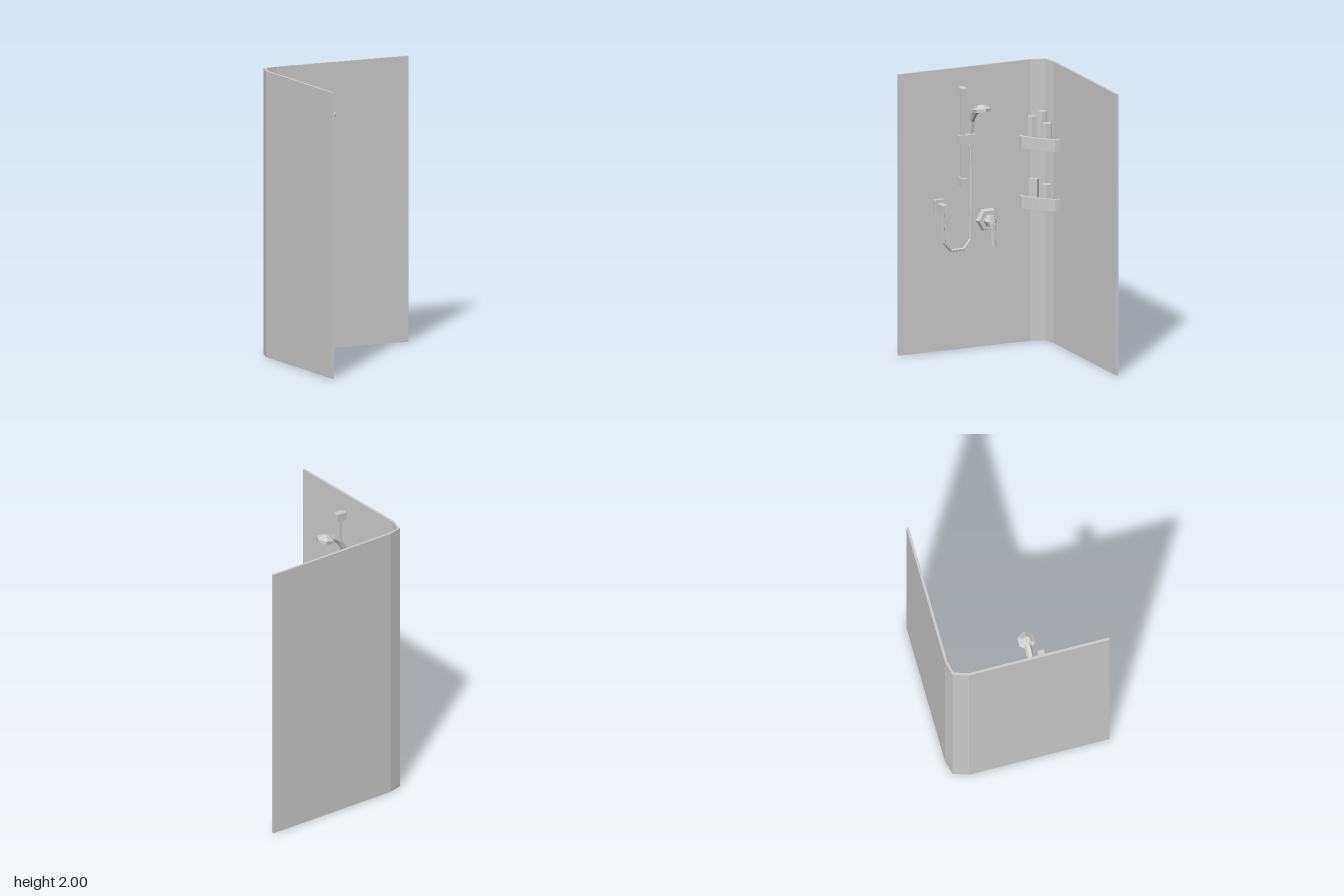
import * as THREE from 'three';

const material = new THREE.MeshStandardMaterial({ color: 0xcccccc, flatShading: true, side: THREE.DoubleSide });

export function createModel() {
  const model = new THREE.Group();

  const add = (name, geometry, parent = model) => {
    const mesh = new THREE.Mesh(geometry, material);
    mesh.name = name;
    parent.add(mesh);
    return mesh;
  };
  // Box given by its limits on each axis
  const box = (name, [x0, x1], [y0, y1], [z0, z1], parent) => {
    const mesh = add(name, new THREE.BoxGeometry(x1 - x0, y1 - y0, z1 - z0), parent);
    mesh.position.set((x0 + x1) / 2, (y0 + y1) / 2, (z0 + z1) / 2);
    return mesh;
  };
  // Plan outline of [x, z] points, raised from y0 to y1
  const slab = (name, outline, y0, y1, parent) => {
    const shape = new THREE.Shape(outline.map(([x, z]) => new THREE.Vector2(x, -z)));
    const geometry = new THREE.ExtrudeGeometry(shape, { depth: y1 - y0, bevelEnabled: false });
    geometry.rotateX(-Math.PI / 2).translate(0, y0, 0);
    return add(name, geometry, parent);
  };
  // Faceted tube through points of [x, y, z, radius], with closed ends
  const pipe = (name, points, sides, parent) => {
    const centres = points.map(p => new THREE.Vector3(p[0], p[1], p[2]));
    const pos = [], index = [];
    let side = null;
    centres.forEach((c, i) => {
      const before = centres[Math.max(i - 1, 0)], after = centres[Math.min(i + 1, centres.length - 1)];
      const dir = after.clone().sub(before).normalize();
      if (!side) side = new THREE.Vector3(0, 0, 1).cross(dir).normalize();
      side.addScaledVector(dir, -side.dot(dir)).normalize();
      const up = dir.clone().cross(side);
      for (let k = 0; k < sides; k++) {
        const a = (k + 0.5) / sides * Math.PI * 2;
        const v = c.clone().addScaledVector(side, Math.cos(a) * points[i][3]).addScaledVector(up, Math.sin(a) * points[i][3]);
        pos.push(v.x, v.y, v.z);
      }
      if (i) for (let k = 0; k < sides; k++) {
        const a = (i - 1) * sides + k, b = (i - 1) * sides + (k + 1) % sides;
        index.push(a, b, b + sides, a, b + sides, a + sides);
      }
    });
    const last = (points.length - 1) * sides;
    for (let k = 1; k < sides - 1; k++) index.push(0, k + 1, k, last, last + k, last + k + 1);
    const geometry = new THREE.BufferGeometry();
    geometry.setAttribute('position', new THREE.Float32BufferAttribute(pos, 3));
    geometry.setIndex(index);
    geometry.computeVertexNormals();
    return add(name, geometry, parent);
  };

  // Two wall panels joined by a faceted corner
  slab('wall', [
    [-0.58, 0.567], [-0.58, -0.44], [-0.543, -0.547], [-0.44, -0.573], [0.58, -0.573],
    [0.58, -0.555], [-0.44, -0.555], [-0.53, -0.535], [-0.562, -0.44], [-0.562, 0.567],
  ], 0, 2);

  // Corner shelves: a floor with a raised front rim
  const back = [[-0.44, -0.555], [-0.53, -0.535], [-0.562, -0.44]];
  const outer = [[-0.562, -0.352], [-0.525, -0.352], [-0.425, -0.425], [-0.332, -0.522], [-0.332, -0.555]];
  const inner = [[-0.355, -0.555], [-0.355, -0.53], [-0.44, -0.445], [-0.54, -0.377], [-0.562, -0.377]];
  const shelf = (name, y) => {
    const group = new THREE.Group();
    group.name = name;
    model.add(group);
    slab('shelfFloor', [...outer, ...back], y, y + 0.02, group);
    slab('shelfRim', [...outer, ...inner], y, y + 0.085, group);
    return group;
  };
  const bottle = (x, z, y0, y1, parent) =>
    add('bottle', new THREE.CylinderGeometry(0.034, 0.034, y1 - y0, 6), parent).position.set(x, (y0 + y1) / 2, z);

  const upper = shelf('upperShelf', 1.385);
  bottle(-0.51, -0.503, 1.405, 1.64, upper);
  bottle(-0.437, -0.505, 1.405, 1.57, upper);
  bottle(-0.52, -0.432, 1.405, 1.61, upper);

  const lower = shelf('lowerShelf', 0.96);
  bottle(-0.44, -0.505, 0.98, 1.135, lower);
  const carton = add('boxBottle', new THREE.BoxGeometry(0.065, 0.185, 0.036), lower);
  carton.position.set(-0.513, 1.0725, -0.44);
  carton.rotation.y = 0.7;

  // Slide rail with end brackets and a sliding holder
  box('rail', [-0.532, -0.508], [1.19, 1.85], [0.088, 0.112]);
  box('topBracket', [-0.563, -0.482], [1.81, 1.868], [0.076, 0.122]);
  box('bottomBracket', [-0.563, -0.482], [1.17, 1.227], [0.076, 0.122]);
  box('slider', [-0.545, -0.497], [1.47, 1.53], [0.01, 0.134]);

  // Hand shower: curved handle and hexagonal head
  pipe('handle', [
    [-0.518, 1.44, 0.035, 0.014], [-0.52, 1.54, 0.035, 0.017], [-0.505, 1.63, 0.035, 0.02],
    [-0.465, 1.69, 0.035, 0.023], [-0.41, 1.732, 0.035, 0.026], [-0.355, 1.752, 0.035, 0.026],
  ], 6);
  const head = new THREE.Group();
  head.name = 'showerHead';
  head.position.set(-0.342, 1.737, 0.035);
  head.rotation.z = 0.23;
  model.add(head);
  add('headRim', new THREE.CylinderGeometry(0.066, 0.062, 0.022, 6).rotateY(Math.PI / 6), head);
  const dome = add('headDome', new THREE.CylinderGeometry(0.025, 0.066, 0.03, 6).rotateY(Math.PI / 6), head);
  dome.position.y = 0.026;

  // Hose hanging in a loop between the outlet and the handle
  pipe('hose', [
    [-0.475, 1.03, 0.272, 0.011], [-0.48, 0.79, 0.26, 0.011], [-0.488, 0.725, 0.2, 0.011],
    [-0.497, 0.725, 0.1, 0.011], [-0.503, 0.79, 0.045, 0.011], [-0.508, 1.05, 0.038, 0.011],
    [-0.518, 1.45, 0.035, 0.011],
  ], 6);

  // Wall outlet
  box('outletPlate', [-0.563, -0.53], [0.99, 1.085], [0.23, 0.306]);
  box('outlet', [-0.54, -0.447], [1.01, 1.062], [0.246, 0.291]);

  // Mixer valve: hexagonal stages along +x, then a lever
  const mixer = new THREE.Group();
  mixer.name = 'mixer';
  mixer.position.set(0, 0.9, -0.108);
  model.add(mixer);
  const stage = (name, x0, x1, r0, r1) => {
    const geometry = new THREE.CylinderGeometry(r1, r0, x1 - x0, 6).rotateZ(-Math.PI / 2);
    add(name, geometry, mixer).position.x = (x0 + x1) / 2;
  };
  stage('mixerPlate', -0.563, -0.53, 0.088, 0.075);
  stage('mixerBody', -0.53, -0.495, 0.043, 0.043);
  stage('mixerCap', -0.495, -0.472, 0.043, 0.024);
  pipe('lever', [
    [-0.482, 0.045, 0, 0.016], [-0.474, -0.01, 0, 0.023], [-0.466, -0.08, 0, 0.016], [-0.455, -0.165, 0, 0.012],
  ], 6, mixer);

  return model;
}
